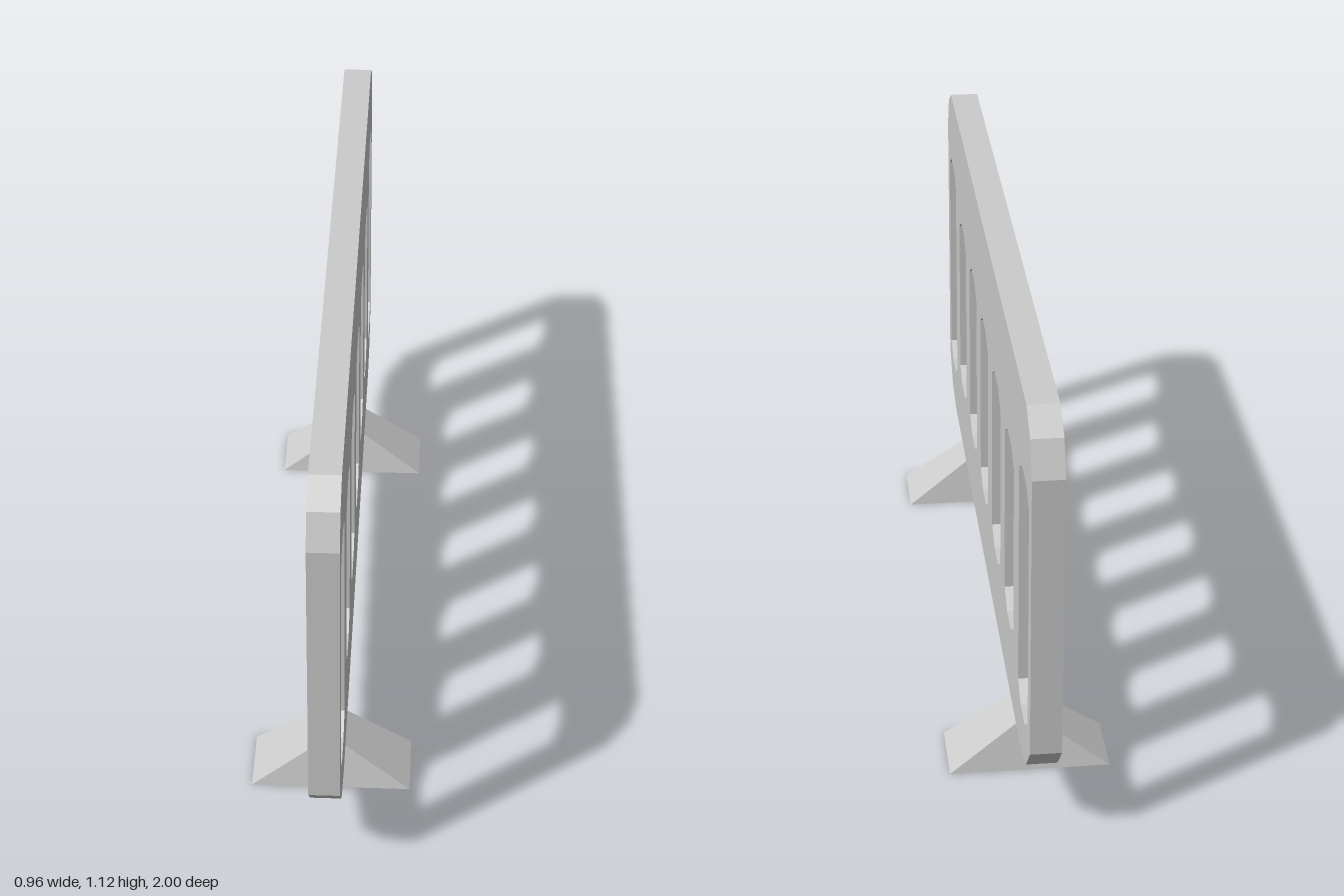
import * as THREE from 'three';

const material = new THREE.MeshStandardMaterial({ color: 0xcccccc, flatShading: true });

const HALF = 1.072;      // half length of the panel
const THICK = 0.075;     // panel thickness
const TURN = Math.PI / 2 - 0.405; // the barrier stands at an angle

const points = (list) => list.map(([x, y]) => new THREE.Vector2(x, y));

function addMesh(parent, geometry, name) {
  const mesh = new THREE.Mesh(geometry, material);
  mesh.name = name;
  parent.add(mesh);
  return mesh;
}

// Upright slot with chamfered ends
function slot(x, bottom, top) {
  const w = 0.1005, flat = 0.041, c = 0.035;
  return new THREE.Path(points([
    [x - flat, bottom], [x + flat, bottom], [x + w, bottom + c], [x + w, top - c],
    [x + flat, top], [x - flat, top], [x - w, top - c], [x - w, bottom + c],
  ]));
}

function panelGeometry() {
  // Right half of the outline, bottom to top, then mirrored
  const right = [
    [HALF - 0.207, 0.155], [HALF - 0.08, 0.185], [HALF, 0.27],
    [HALF, 0.995], [HALF - 0.036, 1.08], [HALF - 0.112, 1.125],
  ];
  const left = right.map(([x, y]) => [-x, y]).reverse();
  const shape = new THREE.Shape(points([...right, ...left]));

  // Seven slots, the outermost ones taller
  for (let i = -3; i <= 3; i++) {
    const outer = Math.abs(i) === 3;
    shape.holes.push(slot(i * 0.307, outer ? 0.278 : 0.347, outer ? 0.928 : 0.858));
  }
  const geometry = new THREE.ExtrudeGeometry(shape, { depth: THICK, bevelEnabled: false });
  geometry.translate(0, 0, -THICK / 2);
  return geometry;
}

// Foot: wide base tapering to a short neck
function createFoot(x, name) {
  const foot = new THREE.Group();
  foot.name = name;
  foot.position.x = x;
  const neckL = 0.127, neckW = 0.057, baseL = 0.178, baseW = 0.397, h = 0.125;

  const base = new THREE.BoxGeometry(baseL, h, baseW).translate(0, h / 2, 0);
  const p = base.attributes.position;
  for (let i = 0; i < p.count; i++) {
    if (p.getY(i) > h / 2) {
      p.setX(i, Math.sign(p.getX(i)) * neckL / 2);
      p.setZ(i, Math.sign(p.getZ(i)) * neckW / 2);
    }
  }
  base.computeVertexNormals();
  addMesh(foot, base, 'footBase');
  addMesh(foot, new THREE.BoxGeometry(neckL, 0.04, neckW), 'footNeck').position.y = h + 0.02;
  return foot;
}

export function createModel() {
  const model = new THREE.Group();
  model.name = 'barrier';

  const barrier = new THREE.Group();
  barrier.name = 'turnedBarrier';
  barrier.rotation.y = TURN;
  model.add(barrier);

  addMesh(barrier, panelGeometry(), 'slottedPanel');
  barrier.add(createFoot(-0.669, 'frontFoot'), createFoot(0.669, 'backFoot'));
  return model;
}
